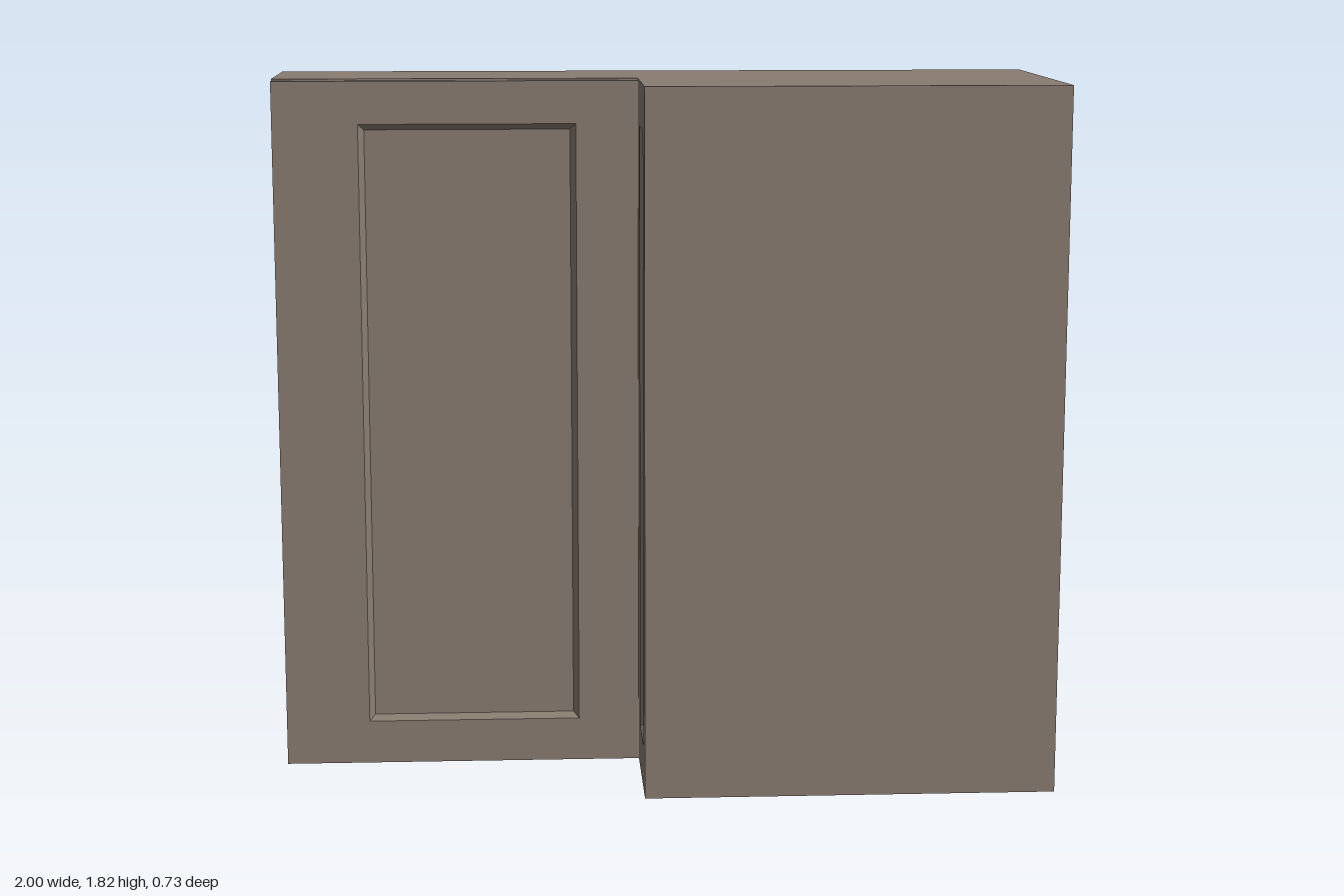
import * as THREE from 'three';

const material = new THREE.MeshStandardMaterial({ color: 0x8a7d72, flatShading: true });

// Slab facing +z with a bevelled recess; the front face lies on z = 0.
function recessedPanel(x0, x1, y0, y1, hole, thickness, depth, bevel) {
  const loop = (a, b, c, d, z) => [[a, c, z], [b, c, z], [b, d, z], [a, d, z]];
  const [hx0, hx1, hy0, hy1] = hole;
  const loops = [
    loop(x0, x1, y0, y1, -thickness),
    loop(x0, x1, y0, y1, 0),
    loop(hx0, hx1, hy0, hy1, 0),
    loop(hx0 + bevel, hx1 - bevel, hy0 + bevel, hy1 - bevel, -depth),
  ];
  const points = [];
  const quad = (a, b, c, d) => points.push(...a, ...b, ...c, ...a, ...c, ...d);
  for (let k = 0; k < 3; k++) {
    for (let i = 0; i < 4; i++) {
      const j = (i + 1) % 4;
      quad(loops[k][i], loops[k][j], loops[k + 1][j], loops[k + 1][i]);
    }
  }
  quad(...loops[3]);
  quad(...[...loops[0]].reverse());
  const geometry = new THREE.BufferGeometry();
  geometry.setAttribute('position', new THREE.Float32BufferAttribute(points, 3));
  geometry.computeVertexNormals();
  return geometry;
}

export function createModel() {
  const group = new THREE.Group();
  const add = (name, geometry) => {
    const mesh = new THREE.Mesh(geometry, material);
    mesh.name = name;
    group.add(mesh);
    return mesh;
  };

  // L-shaped wall: shallow wing on one side, deep block on the other
  const plan = new THREE.Shape([
    [-1, 0.365], [-1, 0.01], [-0.04, 0.01], [-0.04, -0.365], [1, -0.365], [1, 0.365],
  ].map(([x, y]) => new THREE.Vector2(x, y)));
  const body = new THREE.ExtrudeGeometry(plan, { depth: 1.817, bevelEnabled: false });
  body.rotateX(-Math.PI / 2);
  add('wallBody', body).position.y = 0.003;

  // Tall panel on the front of the wing, running into the block
  const front = recessedPanel(-1, 0, 0, 1.815, [-0.78, -0.22, 0.115, 1.705], 0.025, 0.015, 0.015);
  add('frontPanel', front).position.z = 0.015;

  // Narrow panel on the inner side of the block
  const side = recessedPanel(0, 0.365, 0.003, 1.82, [0.1, 0.28, 0.115, 1.705], 0.02, 0.015, 0.015);
  const sidePanel = add('sidePanel', side);
  sidePanel.rotation.y = -Math.PI / 2;
  sidePanel.position.x = -0.06;

  return group;
}
